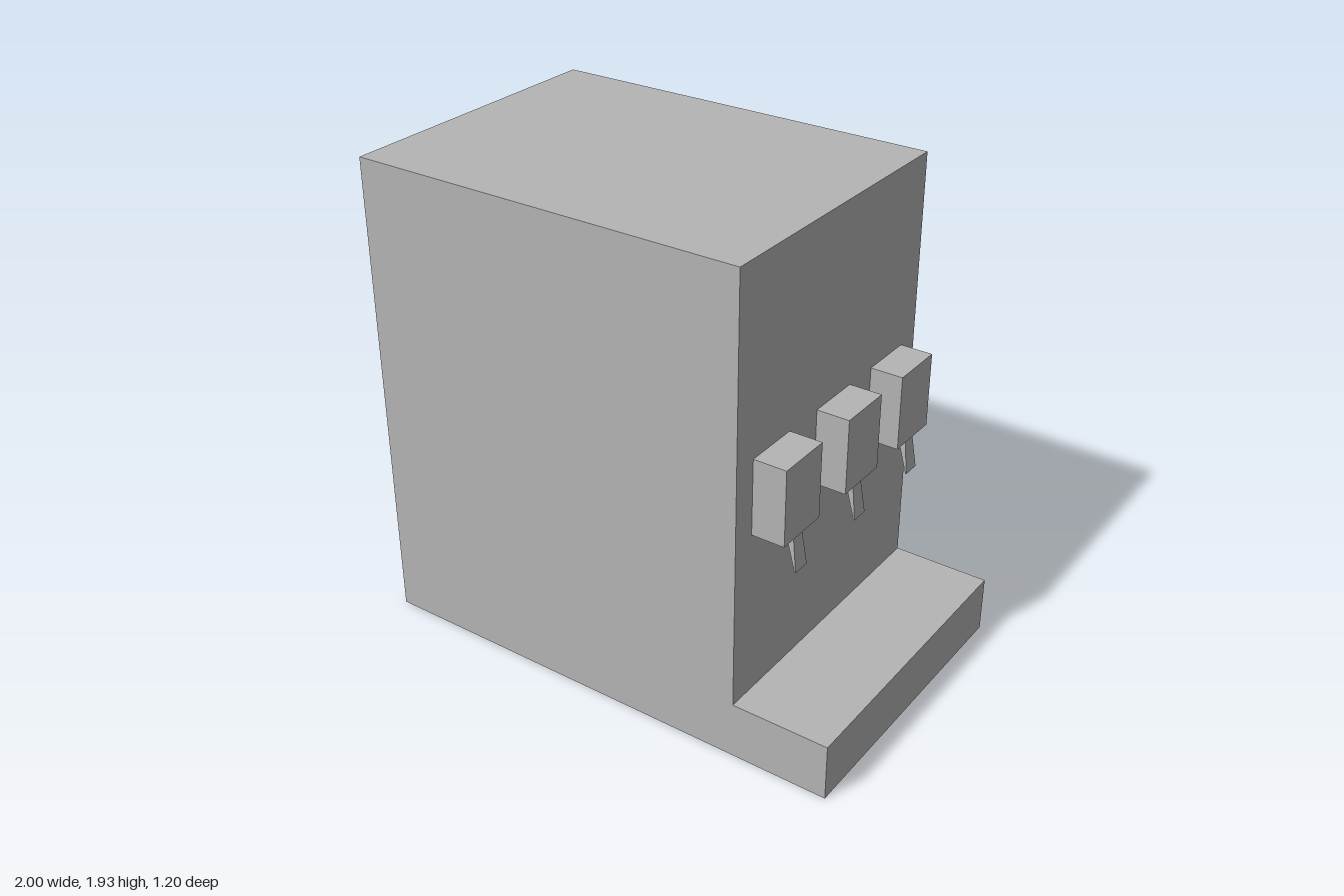
import * as THREE from 'three';

// Extrudes a side profile (x, y points) along z, centred on z = 0
function extrudeProfile(points, depth) {
  const shape = new THREE.Shape(points.map(([x, y]) => new THREE.Vector2(x, y)));
  const geometry = new THREE.ExtrudeGeometry(shape, { depth, bevelEnabled: false });
  return geometry.translate(0, 0, -depth / 2);
}

export function createModel() {
  const model = new THREE.Group();
  model.name = 'dispenser';
  const grey = new THREE.MeshStandardMaterial({ color: 0xb4b4b4 });
  grey.name = 'plainGrey';

  const add = (parent, name, geometry) => {
    const mesh = new THREE.Mesh(geometry, grey);
    mesh.name = name;
    parent.add(mesh);
    return mesh;
  };

  // Tall cabinet with a low shelf, as one L-shaped block
  add(model, 'cabinetWithShelf', extrudeProfile(
    [[-1, 0], [1, 0], [1, 0.23], [0.61, 0.23], [0.61, 1.93], [-1, 1.93]], 1.2));

  // Thin slanted lever, widening towards its tip
  const topY = 0.9, tipY = 0.75;
  const leverGeometry = extrudeProfile(
    [[0.737, tipY], [0.741, tipY], [0.72, topY], [0.688, topY]], 1);
  const p = leverGeometry.attributes.position;
  for (let i = 0; i < p.count; i++) {
    const t = (topY - p.getY(i)) / (topY - tipY);
    p.setZ(i, p.getZ(i) * THREE.MathUtils.lerp(0.053, 0.073, t));
  }
  leverGeometry.computeVertexNormals();

  // Three tap housings on the cabinet wall, each with a lever below
  const housingGeometry = new THREE.BoxGeometry(0.13, 0.3, 0.225);
  [[0.389, 0.386], [-0.013, -0.013], [-0.389, -0.399]].forEach(([housingZ, leverZ], i) => {
    const tap = new THREE.Group();
    tap.name = `tap${i + 1}`;
    add(tap, 'tapHousing', housingGeometry).position.set(0.675, 1.05, housingZ);
    add(tap, 'tapLever', leverGeometry).position.z = leverZ;
    model.add(tap);
  });

  return model;
}
